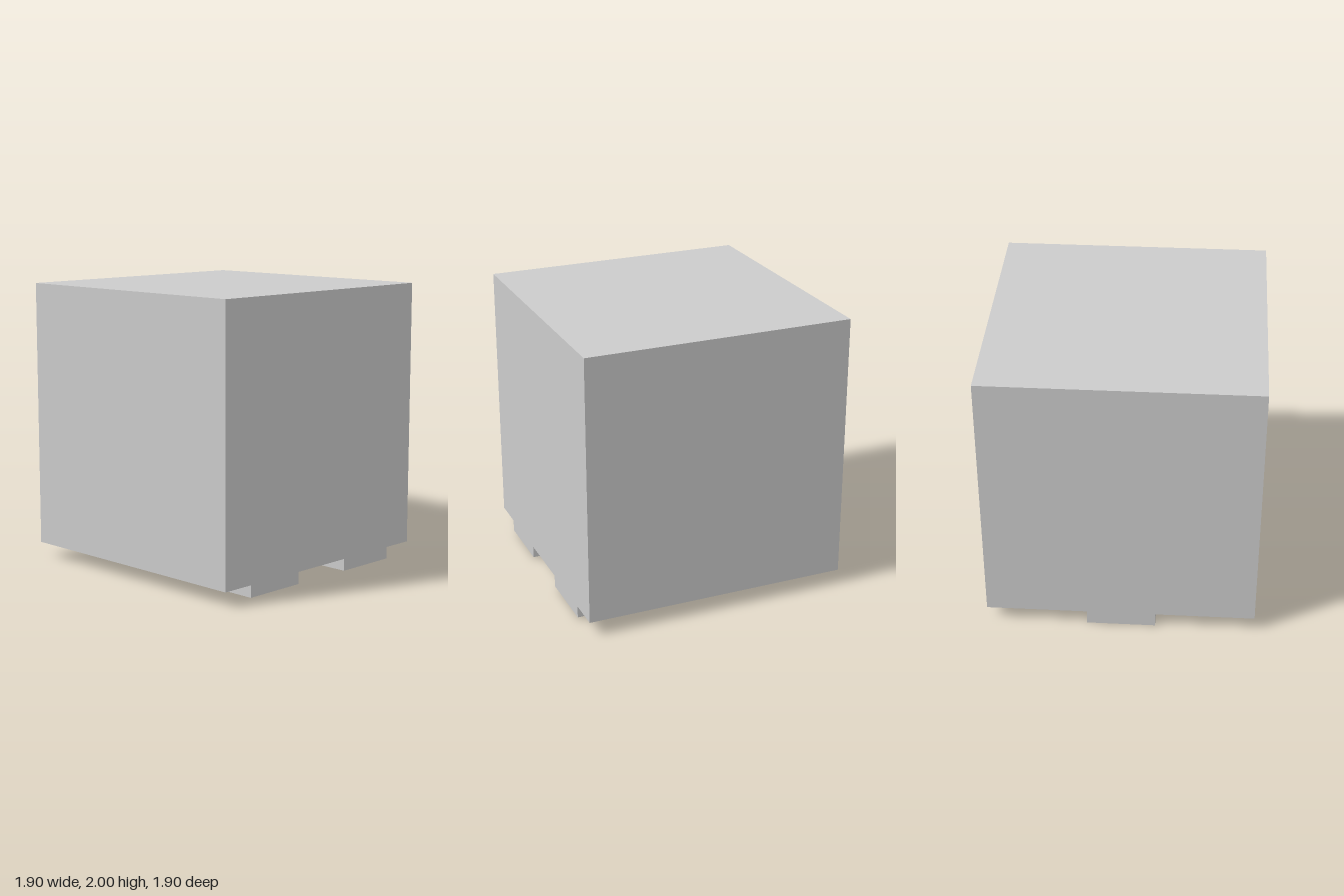
import * as THREE from 'three';

const material = new THREE.MeshStandardMaterial({ color: 0xcccccc, flatShading: true });

// Box given by its extents on each axis
function block(name, [x0, x1], [y0, y1], [z0, z1]) {
  const mesh = new THREE.Mesh(new THREE.BoxGeometry(x1 - x0, y1 - y0, z1 - z0), material);
  mesh.position.set((x0 + x1) / 2, (y0 + y1) / 2, (z0 + z1) / 2);
  mesh.name = name;
  return mesh;
}

export function createModel() {
  const model = new THREE.Group();
  model.name = 'pawBlock';

  const half = 0.948; // half width of the cube
  const base = 0.105; // underside of the cube

  model.add(block('body', [-half, half], [base, 2], [-half, half]));

  // Heel pad, flush with the back face
  model.add(block('heelPad', [-0.248, 0.237], [0, base], [-half, -0.474]));

  // Two mirrored rows of pads: lower edge, then z extent
  const pads = [
    ['rearPad', 0.02, [-0.237, 0]],
    ['middlePad', 0.03, [0.24, 0.594]],
    ['frontPad', 0.02, [0.711, half]],
  ];
  for (const [name, bottom, z] of pads) {
    model.add(block(name + 'Left', [0.237, 0.711], [bottom, base], z));
    model.add(block(name + 'Right', [-0.711, -0.24], [bottom, base], z));
  }
  return model;
}
